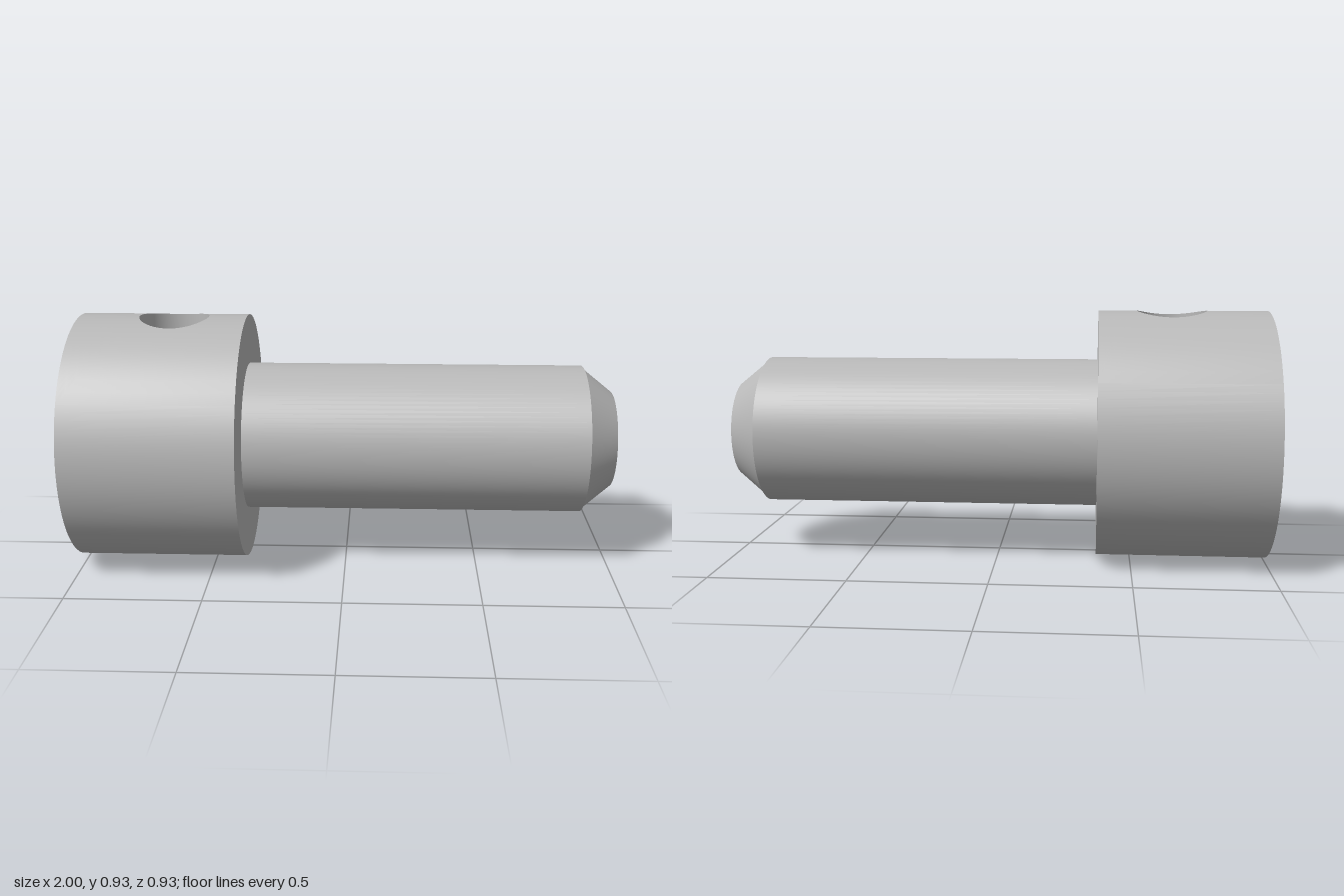
import * as THREE from 'three';
import { ParametricGeometry } from 'three/addons/geometries/ParametricGeometry.js';

const HEAD_R = 0.463, BORE_R = 0.195, SHAFT_R = 0.278, HOLE_R = 0.13;
const BACK = -1, SHOULDER = -0.373, HOLE_X = -0.645;
const PATCH = Math.PI / 3; // half angle of the wall patch that holds the side hole

export function createModel() {
  const model = new THREE.Group();
  const steel = new THREE.MeshStandardMaterial({ color: 0xb8b8b8 });
  const body = new THREE.Group(); // axis of the pin runs along x
  body.position.y = HEAD_R;
  model.add(body);

  const add = (name, geometry) => {
    const mesh = new THREE.Mesh(geometry, steel);
    mesh.name = name;
    body.add(mesh);
  };

  // One straight profile segment turned about the x axis: [radius, x]
  const turned = (name, a, b) => {
    const pts = [new THREE.Vector2(...a), new THREE.Vector2(...b)];
    add(name, new THREE.LatheGeometry(pts, 96).rotateZ(-Math.PI / 2));
  };

  const onCylinder = (p, x, angle, r) => p.set(x, r * Math.cos(angle), r * Math.sin(angle));

  // Walk round the rectangular edge of the patch, both axes in -1..1
  const edge = (t) => {
    const k = Math.min(3, Math.floor(t * 4));
    const s = (t * 4 - k) * 2 - 1;
    return [[1, s], [-s, 1], [-1, -s], [s, -1]][k];
  };
  const direction = (t) => {
    const [ex, ea] = edge(t);
    return Math.atan2(ea, ex);
  };

  // Cylinder wall pierced by the side hole; inward turns it to face the axis
  const piercedWall = (name, r, inward) => {
    add(name, new ParametricGeometry((u, w, p) => {
      const v = inward ? 1 - w : w;
      const [ex, ea] = edge(u);
      const phi = direction(u);
      const x0 = HOLE_X + HOLE_R * Math.cos(phi);
      const a0 = Math.asin(HOLE_R * Math.sin(phi) / r);
      const x1 = THREE.MathUtils.lerp(BACK, SHOULDER, (ex + 1) / 2);
      onCylinder(p, THREE.MathUtils.lerp(x0, x1, v), THREE.MathUtils.lerp(a0, ea * PATCH, v), r);
    }, 128, 8));
    add(name, new ParametricGeometry((u, w, p) => {
      const v = inward ? 1 - w : w;
      const angle = PATCH + u * (2 * Math.PI - 2 * PATCH);
      onCylinder(p, THREE.MathUtils.lerp(BACK, SHOULDER, v), angle, r);
    }, 64, 1));
  };

  // Head with blind bore
  piercedWall('headWall', HEAD_R, false);
  piercedWall('boreWall', BORE_R, true);
  turned('headBackFace', [BORE_R, BACK], [HEAD_R, BACK]);
  turned('headShoulder', [HEAD_R, SHOULDER], [SHAFT_R, SHOULDER]);
  turned('boreFloor', [0, SHOULDER], [BORE_R, SHOULDER]);

  // Side hole running from the top of the head into the bore
  add('sideHoleWall', new ParametricGeometry((u, v, p) => {
    const phi = direction(u);
    const z = HOLE_R * Math.sin(phi);
    const y0 = Math.sqrt(BORE_R ** 2 - z * z);
    const y1 = Math.sqrt(HEAD_R ** 2 - z * z);
    p.set(HOLE_X + HOLE_R * Math.cos(phi), THREE.MathUtils.lerp(y0, y1, v), z);
  }, 128, 2));

  // Shaft with a small step and a tapered tip
  turned('shaft', [SHAFT_R, SHOULDER], [SHAFT_R, 0.888]);
  turned('tipStep', [SHAFT_R, 0.888], [0.271, 0.888]);
  turned('tipTaper', [0.271, 0.888], [0.181, 1]);
  turned('tipFace', [0.181, 1], [0, 1]);

  return model;
}
